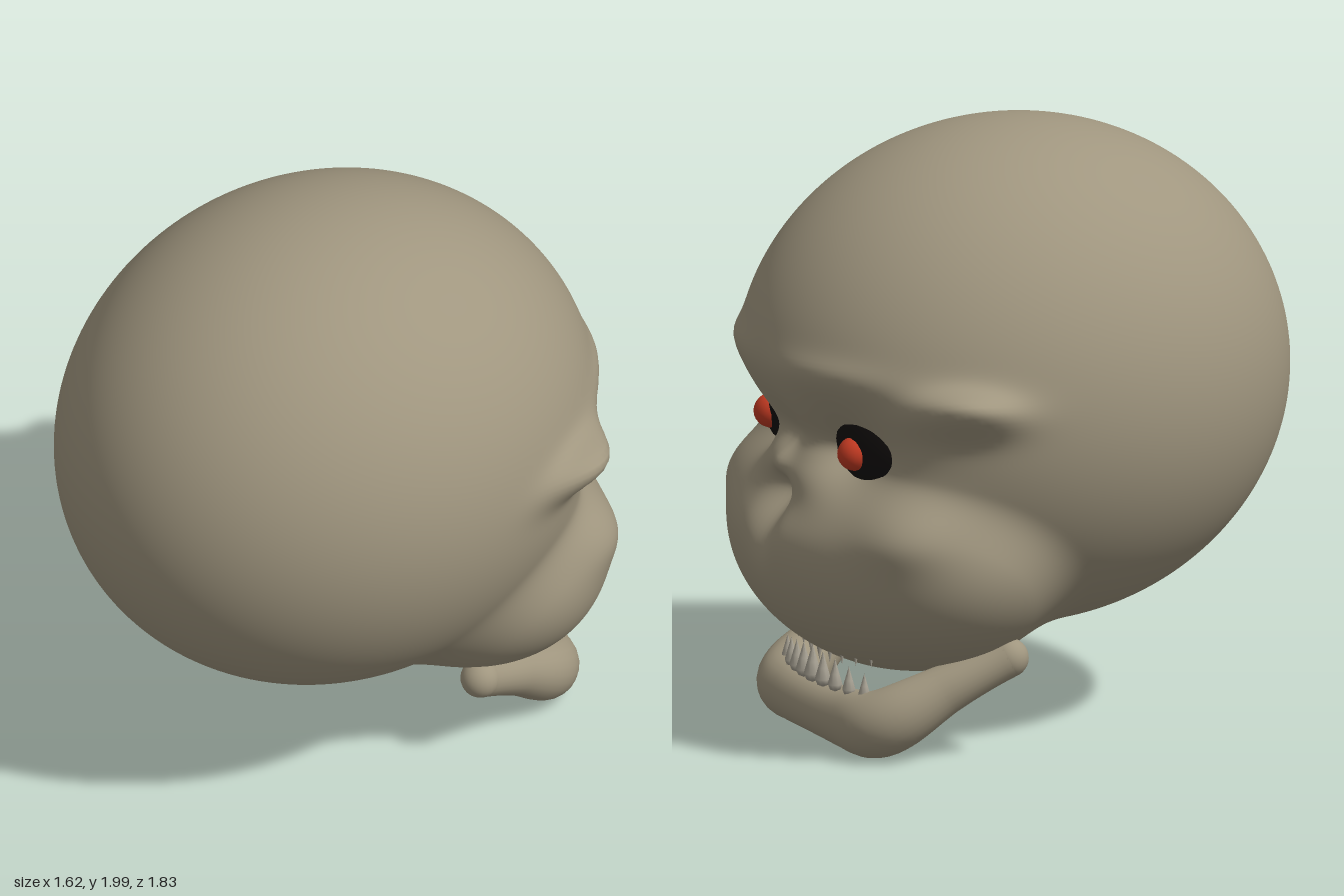
import * as THREE from 'three';
import { mergeVertices } from 'three/addons/utils/BufferGeometryUtils.js';

const bone = new THREE.MeshStandardMaterial({ color: 0xa0967f });
const toothMat = new THREE.MeshStandardMaterial({ color: 0xa8a294 });
const black = new THREE.MeshStandardMaterial({ color: 0x120e0d });
const red = new THREE.MeshStandardMaterial({ color: 0xc23a22 });

function add(parent, name, geometry, material, x = 0, y = 0, z = 0) {
  const mesh = new THREE.Mesh(geometry, material);
  mesh.name = name;
  mesh.position.set(x, y, z);
  parent.add(mesh);
  return mesh;
}

// The skull is swept radially from this inner point
const origin = new THREE.Vector3(0, 0.95, -0.3);
const cranium = { c: new THREE.Vector3(0, 1.17, 0), r: new THREE.Vector3(0.81, 0.83, 0.92) };
const muzzle = { c: new THREE.Vector3(0, 0.68, -0.4), r: new THREE.Vector3(0.72, 0.45, 0.52) };

// Sculpting strokes, mirrored in x: centre, spread, height
const strokes = [
  [[0, 1.08, -0.9], [0.16, 0.13, 0.4], -0.14],       // nose bridge
  [[0.34, 1.06, -0.8], [0.19, 0.15, 0.35], -0.2],    // eye socket
  [[0.67, 1.21, -0.5], [0.16, 0.07, 0.17], 0.13],    // outer brow
  [[0.34, 1.29, -0.83], [0.25, 0.06, 0.2], 0.03],    // inner brow
  [[0, 0.83, -0.9], [0.25, 0.08, 0.3], -0.05],       // middle face
  [[0, 0.79, -0.9], [0.07, 0.11, 0.3], -0.09],       // nose opening
  [[0, 0.94, -0.9], [0.06, 0.05, 0.3], 0.03],        // nose tip
  [[0.56, 0.82, -0.65], [0.16, 0.12, 0.18], 0.06],   // cheekbone
];

// Distance from the origin to an ellipsoid along a direction
function rayHit(dir, { c, r }) {
  const o = origin.clone().sub(c).divide(r);
  const d = dir.clone().divide(r);
  const a = d.dot(d), b = o.dot(d);
  return (-b + Math.sqrt(b * b - a * (o.dot(o) - 1))) / a;
}

function skullGeometry() {
  let g = new THREE.SphereGeometry(1, 192, 144);
  g.deleteAttribute('uv');
  g.deleteAttribute('normal');
  g = mergeVertices(g, 1e-5);
  const pos = g.attributes.position;
  const dir = new THREE.Vector3(), p = new THREE.Vector3();
  for (let i = 0; i < pos.count; i++) {
    dir.fromBufferAttribute(pos, i).normalize();
    const a = rayHit(dir, cranium), b = rayHit(dir, muzzle), k = 0.1;
    const h = Math.max(k - Math.abs(a - b), 0) / k;
    const reach = Math.max(a, b) + h * h * k / 4;
    p.copy(origin).addScaledVector(dir, reach);
    let lift = 0;
    for (const [c, s, height] of strokes) {
      const q = ((Math.abs(p.x) - c[0]) / s[0]) ** 2 + ((p.y - c[1]) / s[1]) ** 2 + ((p.z - c[2]) / s[2]) ** 2;
      lift += height * Math.exp(-q);
    }
    p.addScaledVector(dir, lift);
    pos.setXYZ(i, p.x, p.y, p.z);
  }
  g.computeVertexNormals();
  return g;
}

// Jaw: a bent tube, thick at the corners and slim at the hinges
function jawGeometry() {
  const half = [[0.5, 0.34, -0.25], [0.43, 0.24, -0.44], [0.34, 0.125, -0.63], [0.2, 0.11, -0.665]];
  const right = half.map(([x, y, z]) => new THREE.Vector3(-x, y, z));
  const left = half.map(([x, y, z]) => new THREE.Vector3(x, y, z)).reverse();
  const curve = new THREE.CatmullRomCurve3([...right, ...left]);
  const segments = 80, sides = 24;
  const g = new THREE.TubeGeometry(curve, segments, 1, sides);
  const pos = g.attributes.position, v = new THREE.Vector3();
  for (let i = 0; i <= segments; i++) {
    const centre = curve.getPointAt(i / segments);
    const u = Math.abs(2 * i / segments - 1);
    const radius = 0.09 + 0.02 * Math.exp(-(((u - 0.42) / 0.2) ** 2)) - 0.025 * THREE.MathUtils.smoothstep(u, 0.5, 1);
    for (let j = 0; j <= sides; j++) {
      const n = i * (sides + 1) + j;
      v.fromBufferAttribute(pos, n).sub(centre).multiplyScalar(radius).add(centre);
      pos.setXYZ(n, v.x, v.y, v.z);
    }
  }
  const smooth = g.clone();
  smooth.deleteAttribute('uv');
  smooth.deleteAttribute('normal');
  const merged = mergeVertices(smooth, 1e-5);
  merged.computeVertexNormals();
  return merged;
}

export function createModel() {
  const model = new THREE.Group();
  model.name = 'skull';
  add(model, 'cranium', skullGeometry(), bone);

  // Eyes, set into the sockets and turned slightly outward
  for (const side of [-1, 1]) {
    const eye = add(model, 'eye', new THREE.SphereGeometry(1, 14, 10), black, side * 0.335, 1.06, -0.64);
    eye.scale.set(0.165, 0.15, 0.085);
    eye.rotation.y = -side * 0.4;
    add(model, 'pupil', new THREE.SphereGeometry(0.056, 16, 12), red, side * 0.315, 1.03, -0.715);
  }

  // Lower jaw with rounded hinges
  const jaw = new THREE.Group();
  jaw.name = 'lowerJaw';
  model.add(jaw);
  add(jaw, 'jawBone', jawGeometry(), bone);
  for (const side of [-1, 1])
    add(jaw, 'jawHinge', new THREE.SphereGeometry(0.065, 24, 16), bone, side * 0.5, 0.34, -0.25);

  // Pointed teeth, largest in the middle
  const profile = [[0, 0], [0.022, 0.01], [0.03, 0.03], [0.018, 0.07], [0, 0.13]]
    .map(([x, y]) => new THREE.Vector2(x, y));
  const tooth = new THREE.LatheGeometry(profile, 8);
  for (let i = -4; i <= 4; i++) {
    const size = 1 - 0.08 * Math.abs(i);
    const x = i * 0.072;
    const back = 0.003 * i * i;
    add(jaw, 'lowerTooth', tooth, toothMat, x, 0.195, -0.715 + back).scale.setScalar(size);
    const upper = add(model, 'upperTooth', tooth, toothMat, x, 0.375, -0.69 + back);
    upper.rotation.x = Math.PI;
    upper.scale.set(0.6 * size, 0.85 * size, 0.6 * size);
  }
  return model;
}
